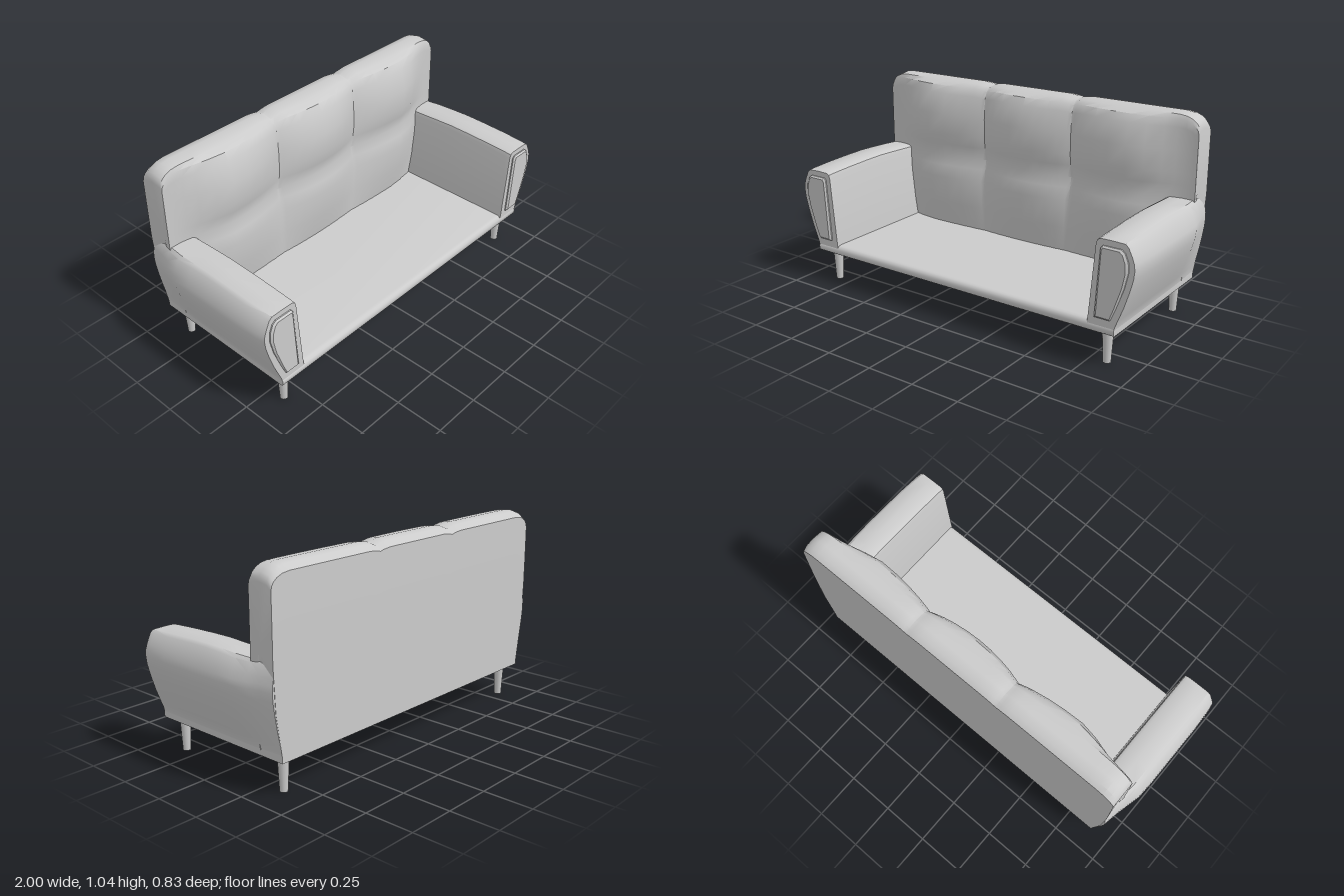
import * as THREE from 'three';
import { toCreasedNormals } from 'three/addons/utils/BufferGeometryUtils.js';

const material = new THREE.MeshStandardMaterial({ color: 0xcccccc });

function add(parent, name, geometry) {
  const mesh = new THREE.Mesh(geometry, material);
  mesh.name = name;
  parent.add(mesh);
  return mesh;
}

// Skin closed loops of [x, y, z] points; ends are closed with fans.
function loft(loops, crease = 0.6) {
  const n = loops[0].length;
  const pts = loops.flat().map((p) => new THREE.Vector3(...p));
  let faces = [];
  for (let i = 0; i < loops.length - 1; i++) {
    for (let j = 0; j < n; j++) {
      const a = i * n + j, b = i * n + ((j + 1) % n);
      faces.push([a, b, b + n], [a, b + n, a + n]);
    }
  }
  for (const end of [0, loops.length - 1]) {
    const start = end * n;
    const centre = new THREE.Vector3();
    for (let j = 0; j < n; j++) centre.addScaledVector(pts[start + j], 1 / n);
    const c = pts.push(centre) - 1;
    for (let j = 0; j < n; j++) {
      const a = start + j, b = start + ((j + 1) % n);
      faces.push(end === 0 ? [c, b, a] : [c, a, b]);
    }
  }
  // Turn the skin outwards if its enclosed volume is negative.
  const cross = new THREE.Vector3();
  const volume = faces.reduce((s, [a, b, c]) => s + pts[a].dot(cross.crossVectors(pts[b], pts[c])), 0);
  if (volume < 0) faces = faces.map(([a, b, c]) => [a, c, b]);
  const geometry = new THREE.BufferGeometry().setFromPoints(pts);
  geometry.setIndex(faces.flat());
  return toCreasedNormals(geometry, crease);
}

const lerp = THREE.MathUtils.lerp;

// Backrest: one side profile swept across x, swelling in three channels.
function backGeometry() {
  const half = 0.945, seam = 0.27;
  // [y, z at a seam, z at the middle of a channel]
  const front = [
    [0.18, -0.25, -0.245], [0.35, -0.24, -0.21], [0.5, -0.24, -0.195], [0.57, -0.25, -0.2],
    [0.625, -0.26, -0.217], [0.69, -0.25, -0.2], [0.75, -0.243, -0.184], [0.86, -0.243, -0.183],
    [0.97, -0.25, -0.209], [1.01, -0.265, -0.232], [1.03, -0.285, -0.275],
  ];
  const rear = [[1.04, -0.34], [1.03, -0.385], [1.005, -0.411], [0.8, -0.412],
    [0.62, -0.412], [0.4, -0.412], [0.18, -0.412]].map(([y, z]) => [y, z, z]);
  const profile = [...front, ...rear];

  const right = [0, 0.07, 0.14, 0.2, 0.25, seam, 0.29, 0.34, 0.42, 0.51, 0.61, 0.7, 0.78, 0.84, 0.88, 0.91, 0.93, 0.94, half];
  const xs = [...right.slice(1).reverse().map((x) => -x), ...right];
  return loft(xs.map((x) => {
    const ax = Math.abs(x);
    const u = ax < seam ? ax / seam : (2 * ax - seam - half) / (half - seam);
    const bulge = 1 - u * u;
    const edge = THREE.MathUtils.smoothstep(ax, 0.6, half);
    const corner = Math.max(0, (ax - 0.84) / (half - 0.84));
    const drop = 0.075 * (1 - Math.sqrt(1 - corner * corner)) + 0.012 * Math.max(0, 1 - Math.abs(ax - seam) / 0.04);
    return profile.map(([y, zSeam, zMid], i) => {
      let z = lerp(zSeam, zMid, bulge);
      if (i < front.length) z = lerp(z, Math.min(z, -0.275), edge);
      const high = Math.max(0, (y - 0.62) / 0.42);
      const low = Math.max(0, (0.62 - y) / 0.45);
      return [x * (1 - 0.05 * low * low), y - drop * high, z];
    });
  }));
}

// Armrest: flared section swept front to back, drawn in towards the rear.
function armGeometry(side) {
  const section = [
    [0.765, 0.2], [0.77, 0.25], [0.798, 0.595], [0.804, 0.615], [0.82, 0.624], [0.88, 0.625],
    [0.945, 0.623], [0.963, 0.61], [0.985, 0.56], [0.997, 0.53], [1, 0.5], [0.995, 0.46],
    [0.978, 0.4], [0.95, 0.32], [0.92, 0.25], [0.906, 0.218], [0.902, 0.2],
  ];
  // [z, outward flare, lift of the top]
  const stations = [[0.402, 0.9, -0.008], [0.37, 0.95, -0.005], [0.25, 1, 0.002], [0.1, 1, 0.008], [0, 1, 0.01],
    [-0.1, 1, 0.007], [-0.2, 0.96, 0.003], [-0.28, 0.76, 0], [-0.34, 0.62, 0], [-0.41, 0.5, 0]];
  return loft(stations.map(([z, flare, lift]) => section.map(([x, y]) => [
    side * (x > 0.9 ? 0.9 + (x - 0.9) * flare : x), y > 0.59 ? y + lift : y, z])));
}

// Thin raised pad on the front of an armrest.
function padGeometry(side) {
  const outline = [[0.803, 0.245], [0.824, 0.575], [0.834, 0.588], [0.925, 0.588], [0.943, 0.575],
    [0.96, 0.535], [0.963, 0.49], [0.945, 0.41], [0.905, 0.3], [0.882, 0.245]];
  const cx = 0.885, cy = 0.42;
  return loft([[0.39, 1, 1], [0.408, 1, 1], [0.416, 0.86, 0.95]].map(([z, sx, sy]) =>
    outline.map(([x, y]) => [side * (cx + (x - cx) * sx), cy + (y - cy) * sy, z])), 0.4);
}

// Seat deck with a rounded front lip.
function deckGeometry() {
  const profile = [[-0.412, 0.17], [0.396, 0.17], [0.403, 0.177], [0.405, 0.195], [0.401, 0.209],
    [0.391, 0.218], [0.375, 0.221], [-0.412, 0.221]];
  return loft([-0.902, 0.902].map((x) => profile.map(([z, y]) => [x, y, z])), 0.8);
}

export function createModel() {
  const sofa = new THREE.Group();
  sofa.name = 'sofa';
  add(sofa, 'seatDeck', deckGeometry());
  add(sofa, 'backrest', backGeometry());

  for (const side of [1, -1]) {
    const label = side > 0 ? 'left' : 'right';
    add(sofa, label + 'Armrest', armGeometry(side));
    add(sofa, label + 'ArmPad', padGeometry(side));
    // Tapered legs
    for (const [end, z] of [['Front', 0.33], ['Back', -0.345]]) {
      const leg = add(sofa, label + end + 'Leg', new THREE.CylinderGeometry(0.028, 0.019, 0.175, 16));
      leg.position.set(side * 0.835, 0.0875, z);
    }
  }
  return sofa;
}
